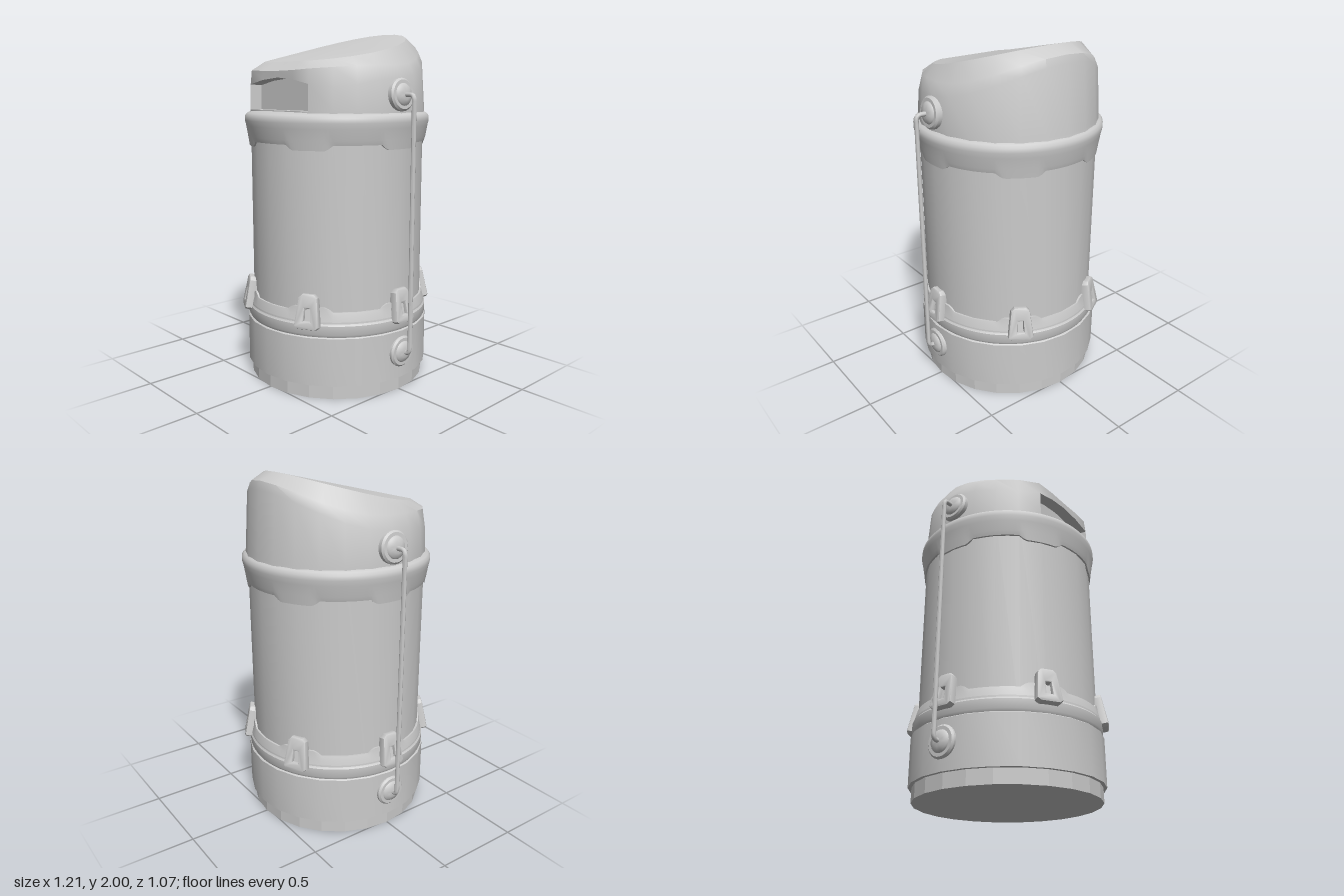
import * as THREE from 'three';
import { toCreasedNormals } from 'three/addons/utils/BufferGeometryUtils.js';

const SIDES = 24;
const RAD = Math.PI / 180;
const material = new THREE.MeshStandardMaterial({ color: 0xcccccc });
const doubleSided = new THREE.MeshStandardMaterial({ color: 0xcccccc, side: THREE.DoubleSide });

function part(name, geometry, crease = 0.6, mat = material) {
  const mesh = new THREE.Mesh(toCreasedNormals(geometry, crease), mat);
  mesh.name = name;
  return mesh;
}

const lathe = (points, sides = SIDES) =>
  new THREE.LatheGeometry(points.map(([r, y]) => new THREE.Vector2(r, y)), sides);

// Surface through a grid of points: rows go up, columns go round
function skin(rows, cols, point, skip = () => false) {
  const positions = [], index = [];
  for (let r = 0; r < rows; r++)
    for (let c = 0; c < cols; c++) positions.push(...point(r, c));
  for (let r = 0; r < rows - 1; r++)
    for (let c = 0; c < cols - 1; c++) {
      if (skip(r, c)) continue;
      const a = r * cols + c, b = a + 1, d = a + cols, e = d + 1;
      index.push(a, b, d, b, e, d);
    }
  const geometry = new THREE.BufferGeometry();
  geometry.setAttribute('position', new THREE.Float32BufferAttribute(positions, 3));
  geometry.setIndex(index);
  geometry.computeVertexNormals();
  return geometry;
}

// Blend of front, side and back values around the head
function around(a, front, side, back) {
  const c = Math.cos(a);
  return side + ((c > 0 ? front : back) - side) * c * c;
}

// Point of the head: row 0 at the collar, 2 above the window, 4 at the lid rim
function headPoint(row, a) {
  const s = Math.sin(a), c = Math.cos(a);
  if (row === 4) {
    const z = Math.min(0.37, c > 0 ? 0.428 * c : 0.39 * c);
    return [0.4 * s, 1.885 - 0.232 * z + 0.155 * z * z, z];
  }
  const r = [around(a, 0.5, 0.505, 0.515), around(a, 0.5, 0.505, 0.51),
    around(a, 0.5, 0.492, 0.487), around(a, 0.5, 0.46, 0.475)][row];
  const arch = c > 0 ? 0.0467 * Math.sin(2 * a) ** 2 : 0;
  const y = [1.53, 1.56, around(a, 1.735, 1.735, 1.92) - arch, around(a, 1.77, 1.80, 1.96)][row];
  return [r * s, y, Math.min(r * c, 0.435)];
}

// Collar or band whose edge steps out into six tabs
function tabbedBand(edgeY, tabY, profile, flip) {
  const n = 144;
  const tab = (a) => {
    const d = Math.abs((((a / RAD) % 60) + 60) % 60 - 30);
    return THREE.MathUtils.clamp((15 - d) / 4, 0, 1);
  };
  return skin(profile.length + 2, n + 1, (row, i) => {
    const a = (i / n) * Math.PI * 2;
    const k = flip ? profile.length + 1 - row : row;
    const y = edgeY + (tabY - edgeY) * tab(a);
    const [r, h] = k === 0 ? [0.497, y] : k === 1 ? [0.508, y] : profile[k - 2];
    return [r * Math.sin(a), h, r * Math.cos(a)];
  });
}

function createHead() {
  const head = new THREE.Group();
  head.name = 'head';
  const angle = (i) => (i - SIDES / 2) * 15 * RAD;

  // Shell, left open where the window sits
  head.add(part('headShell', skin(5, SIDES + 1, (r, i) => headPoint(r, angle(i)),
    (r, i) => r === 1 && i >= 10 && i < 14), 0.7, doubleSided));

  // Sloping lid
  head.add(part('lid', skin(2, SIDES + 1,
    (r, i) => (r ? [0, 1.908, 0] : headPoint(4, angle(i)))), 0.5));

  // Recessed window: floor, pane, ceiling and side walls
  const columns = [-30, -30, -15, 0, 15, 30, 30];
  head.add(part('window', skin(4, 7, (r, i) => {
    const outer = headPoint(r < 2 ? 1 : 2, columns[i] * RAD);
    if (r === 0 || r === 3 || i === 0 || i === 6) return outer;
    return [outer[0] * 0.93, outer[1] - (r === 2 ? 0.005 : 0), 0.37];
  }), 0.4, doubleSided));
  return head;
}

// Clasp: tapered plate with a slot, leaning on the band
function createClasp(angle) {
  const clasp = new THREE.Group();
  clasp.name = 'clasp';
  const shape = new THREE.Shape([[-0.063, -0.08], [-0.05, -0.09], [0.05, -0.09], [0.063, -0.08],
    [0.045, 0.07], [0.03, 0.085], [-0.03, 0.085], [-0.045, 0.07]]
    .map(([x, y]) => new THREE.Vector2(x, y)));
  shape.holes.push(new THREE.Path([[-0.026, -0.06], [-0.022, 0.022], [0.022, 0.022], [0.026, -0.06]]
    .map(([x, y]) => new THREE.Vector2(x, y))));
  const plate = part('claspPlate', new THREE.ExtrudeGeometry(shape, {
    depth: 0.035, bevelThickness: 0.01, bevelSize: 0.008, bevelSegments: 2,
  }), 0.5);
  const tongue = part('claspTongue', new THREE.BoxGeometry(0.03, 0.06, 0.03));
  tongue.position.set(0, -0.025, 0.01);
  const lean = new THREE.Group();
  lean.add(plate, tongue);
  lean.position.set(0, 0.493, 0.502);
  lean.rotation.x = -0.2;
  clasp.add(lean);
  clasp.rotation.y = angle;
  return clasp;
}

// Side handle: bent rod between two round mounts
function createHandle(side) {
  const handle = new THREE.Group();
  handle.name = side > 0 ? 'leftHandle' : 'rightHandle';
  const v = (x, y) => new THREE.Vector3(side * x, y, 0);
  const path = new THREE.CurvePath();
  path.add(new THREE.LineCurve3(v(0.52, 1.645), v(0.565, 1.645)));
  path.add(new THREE.QuadraticBezierCurve3(v(0.565, 1.645), v(0.592, 1.645), v(0.592, 1.615)));
  path.add(new THREE.LineCurve3(v(0.592, 1.615), v(0.592, 0.26)));
  path.add(new THREE.QuadraticBezierCurve3(v(0.592, 0.26), v(0.592, 0.23), v(0.565, 0.23)));
  path.add(new THREE.LineCurve3(v(0.565, 0.23), v(0.52, 0.23)));
  handle.add(part('handleRod', new THREE.TubeGeometry(path, 160, 0.0125, 10), 1.2));

  const profile = [[0.088, -0.02], [0.088, 0.008], [0.078, 0.018], [0.06, 0.018],
    [0.054, 0.026], [0.03, 0.034], [0, 0.036]];
  for (const [name, x, y, tilt] of [['upperMount', 0.503, 1.645, 0.1], ['lowerMount', 0.528, 0.23, 0]]) {
    const mount = part(name, lathe(profile), 0.7);
    mount.position.set(side * x, y, 0);
    mount.rotation.z = -side * (Math.PI / 2 - tilt);
    handle.add(mount);
  }
  return handle;
}

export function createModel() {
  const model = new THREE.Group();
  model.name = 'canister';

  // Faceted foot, smooth base ring and main cylinder
  model.add(part('foot', lathe([[0, 0], [0.515, 0], [0.515, 0.085]]), 0.1));
  model.add(part('baseRing', lathe([[0.5, 0.08], [0.535, 0.08], [0.535, 0.35], [0.528, 0.355], [0.5, 0.355]])));
  model.add(part('body', lathe([[0.5, 0.3], [0.5, 1.5]])));

  // Tabbed band above the base and tabbed collar below the head
  model.add(part('lowerBand', tabbedBand(0.49, 0.515,
    [[0.513, 0.475], [0.522, 0.44], [0.522, 0.43], [0.53, 0.42], [0.53, 0.37], [0.522, 0.355]], true), 0.5));
  model.add(part('collar', tabbedBand(1.385, 1.357,
    [[0.516, 1.41], [0.526, 1.47], [0.533, 1.5], [0.532, 1.525], [0.52, 1.54], [0.495, 1.552], [0.42, 1.555]], false), 0.7));

  model.add(createHead());
  for (let i = 0; i < 6; i++) model.add(createClasp((30 + i * 60) * RAD));
  for (const side of [1, -1]) model.add(createHandle(side));
  return model;
}
